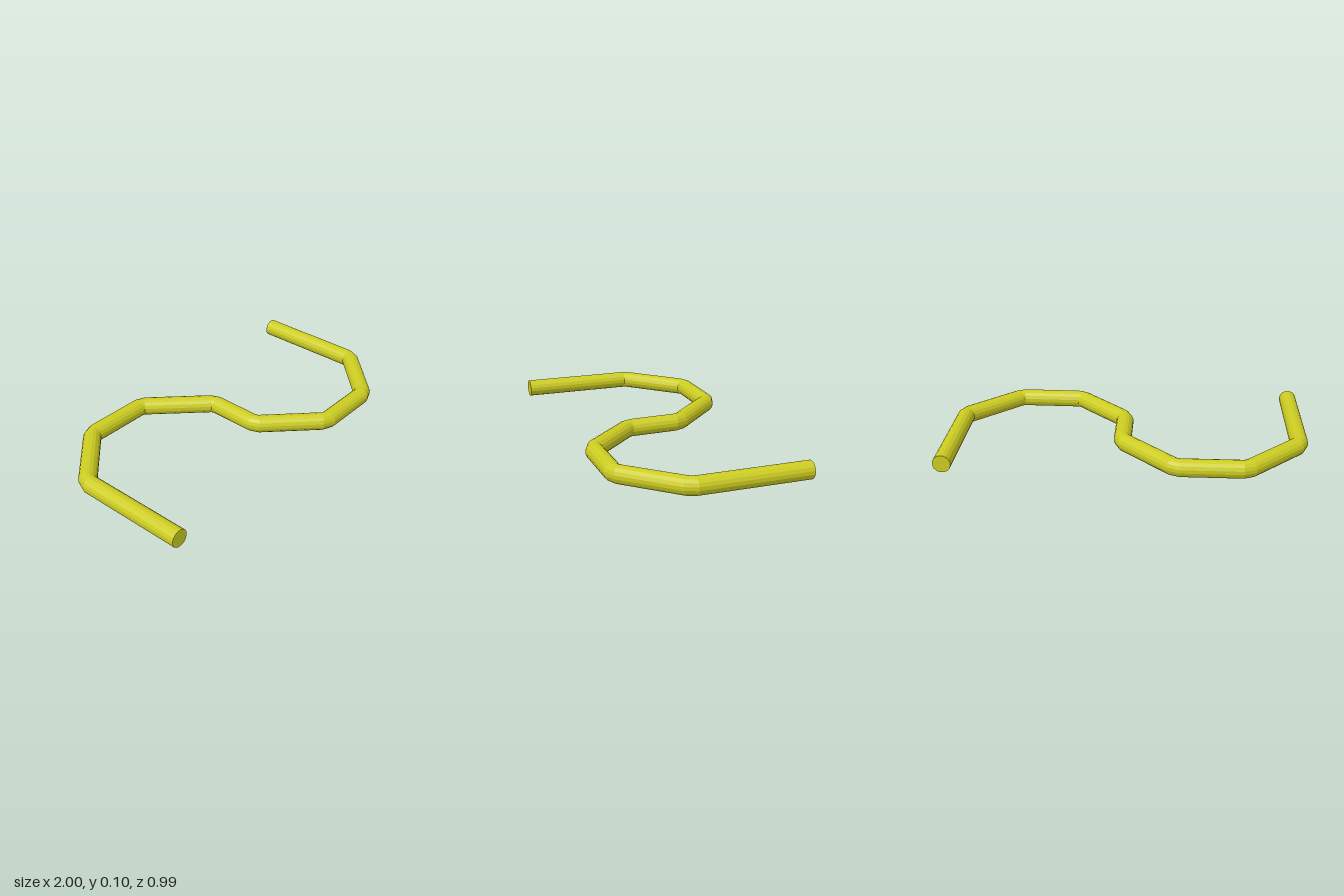
import * as THREE from 'three';

const RADIUS = 0.049;
const SIDES = 16;

// Corner points of the bent rod's centre line
const PATH = [
  [-0.951, 0.056, 0.497], [-0.951, 0.055, -0.15], [-0.65, 0.055, -0.449],
  [-0.275, 0.055, -0.449], [0.02, 0.054, -0.15], [0.02, 0.05, 0.155],
  [0.3, 0.051, 0.437], [0.665, 0.053, 0.437], [0.951, 0.056, 0.15],
  [0.951, 0.057, -0.48],
].map((p) => new THREE.Vector3(...p));

// One ring at each end of every straight; the gaps between form bevelled elbows
function rodRings() {
  const dirs = PATH.slice(1).map((p, i) => p.clone().sub(PATH[i]).normalize());
  const setback = (a, b) => RADIUS * Math.tan(a.angleTo(b) / 2);
  const rings = [];
  dirs.forEach((dir, i) => {
    const trimStart = i > 0 ? setback(dirs[i - 1], dir) : 0;
    const trimEnd = i < dirs.length - 1 ? setback(dir, dirs[i + 1]) : 0;
    rings.push({ centre: PATH[i].clone().addScaledVector(dir, trimStart), dir });
    rings.push({ centre: PATH[i + 1].clone().addScaledVector(dir, -trimEnd), dir });
  });
  return rings;
}

function rodGeometry() {
  const rings = rodRings();
  const positions = [];
  const index = [];
  const up = new THREE.Vector3(0, 1, 0);
  for (const { centre, dir } of rings) {
    const side = up.clone().cross(dir).normalize();
    for (let j = 0; j < SIDES; j++) {
      const a = ((j + 0.5) / SIDES) * Math.PI * 2;
      const p = centre.clone()
        .addScaledVector(side, Math.cos(a) * RADIUS)
        .addScaledVector(up, Math.sin(a) * RADIUS);
      positions.push(p.x, p.y, p.z);
    }
  }
  // Side walls
  for (let i = 0; i < rings.length - 1; i++) {
    for (let j = 0; j < SIDES; j++) {
      const k = (j + 1) % SIDES;
      const a = i * SIDES + j, b = i * SIDES + k;
      index.push(a, b, b + SIDES, a, b + SIDES, a + SIDES);
    }
  }
  // Flat end caps
  const last = (rings.length - 1) * SIDES;
  for (let j = 1; j < SIDES - 1; j++) {
    index.push(0, j + 1, j, last, last + j, last + j + 1);
  }
  const geometry = new THREE.BufferGeometry();
  geometry.setAttribute('position', new THREE.Float32BufferAttribute(positions, 3));
  geometry.setIndex(index);
  geometry.computeVertexNormals();
  return geometry;
}

export function createModel() {
  const group = new THREE.Group();
  group.name = 'bentRod';
  const material = new THREE.MeshStandardMaterial({ color: 0xcccc22, flatShading: true });
  const rod = new THREE.Mesh(rodGeometry(), material);
  rod.name = 'rod';
  group.add(rod);
  return group;
}
